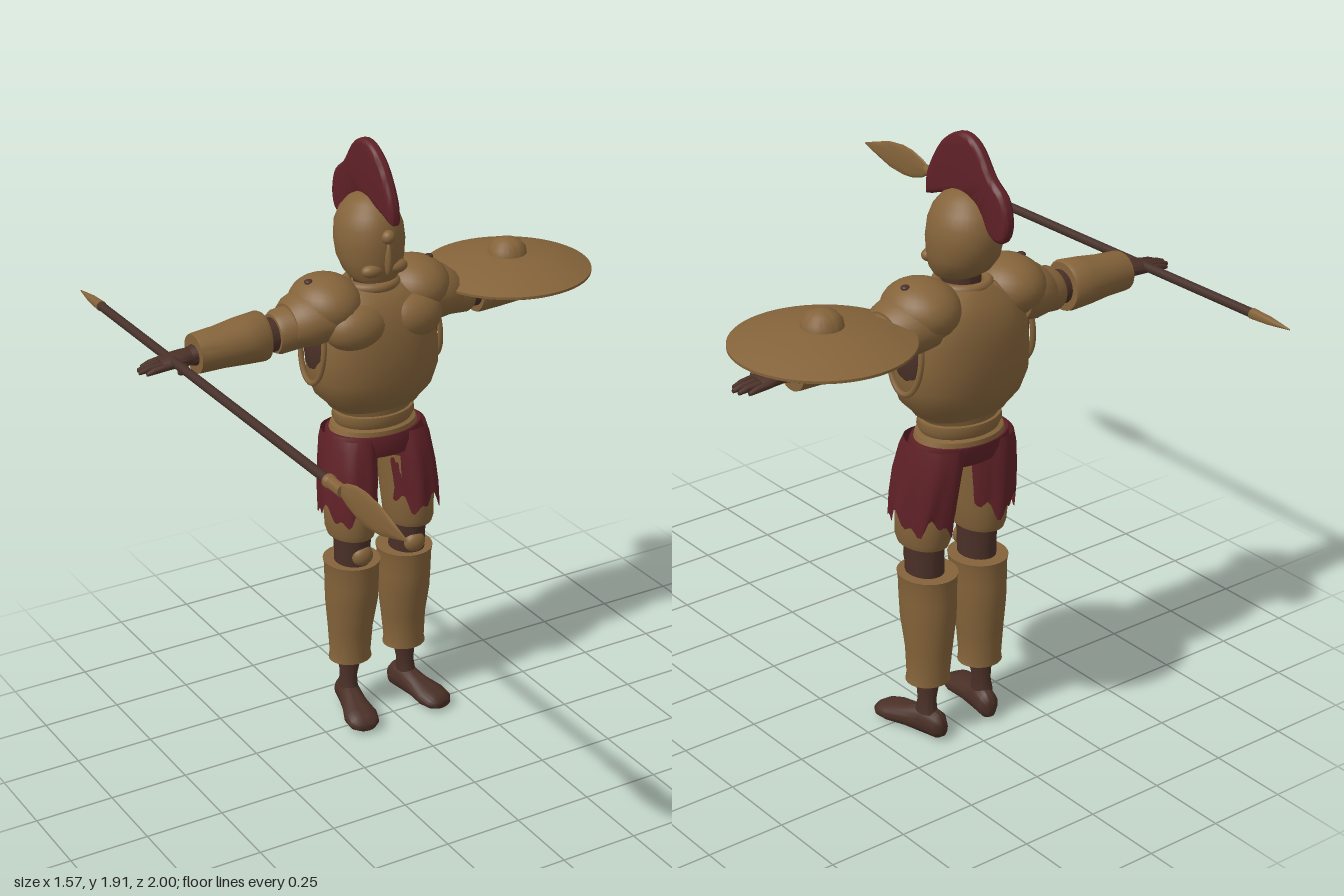
import * as THREE from 'three';
import { toCreasedNormals } from 'three/addons/utils/BufferGeometryUtils.js';

const mat = (name, color) => {
  const m = new THREE.MeshStandardMaterial({ color, side: THREE.DoubleSide });
  m.name = name;
  return m;
};

// Stack of ellipse rings [height, centreA, centreB, radiusA, radiusB], lowest first
function loft(rings, { power = 2, segs = 36, warp, crease = 0.75 } = {}) {
  const pos = [], idx = [];
  rings.forEach(([t, a, b, ra, rb], i) => {
    for (let j = 0; j < segs; j++) {
      const u = (j / segs) * Math.PI * 2, c = Math.cos(u), s = Math.sin(u);
      const bend = (k) => Math.sign(k) * Math.abs(k) ** (2 / power);
      const p = new THREE.Vector3(a + ra * bend(c), t, b + rb * bend(s));
      if (warp) warp(p, u, i);
      pos.push(p.x, p.y, p.z);
      if (i < rings.length - 1) {
        const q = i * segs + j, r = i * segs + ((j + 1) % segs);
        idx.push(q, q + segs, r, r, q + segs, r + segs);
      }
    }
  });
  const g = new THREE.BufferGeometry();
  g.setAttribute('position', new THREE.Float32BufferAttribute(pos, 3));
  g.setIndex(idx);
  return toCreasedNormals(g, crease);
}
// Closes both ends of a ring list
const cap = (rings) => {
  const end = ([t, a, b]) => [t, a, b, 0.001, 0.001];
  return [end(rings[0]), ...rings, end(rings[rings.length - 1])];
};
// Rings [x, y, z, ry, rz] along an arm, side s = 1 or -1
const armLoft = (s, rings, opt) =>
  loft(cap(rings.map(([x, y, z, ry, rz]) => [x, -s * y, z, ry, rz])), opt).rotateZ(-s * Math.PI / 2);
// Rings [z, x, y, rx, ry] running forwards
const zLoft = (rings, opt) =>
  loft(cap(rings.map(([z, x, y, rx, ry]) => [z, x, -y, rx, ry])), opt).rotateX(Math.PI / 2);
const ball = (x, y, z, rx, ry = rx, rz = rx) =>
  new THREE.SphereGeometry(1, 28, 18).scale(rx, ry, rz).translate(x, y, z);

export function createModel() {
  const bronze = mat('bronze', 0x84633a), skin = mat('dark skin', 0x4a3027);
  const red = mat('dark red cloth', 0x5f2127), wood = mat('dark wood', 0x46302a);
  const model = new THREE.Group();
  model.name = 'warrior';
  const add = (name, geo, m, parent = model) => {
    const mesh = new THREE.Mesh(geo, m);
    mesh.name = name;
    parent.add(mesh);
    return mesh;
  };

  // Torso armour, neck and belt
  add('cuirass', loft(cap([
    [1.07, 0, -0.362, 0.145, 0.103], [1.085, 0, -0.362, 0.155, 0.112], [1.12, 0, -0.362, 0.19, 0.135],
    [1.18, 0, -0.364, 0.212, 0.15], [1.25, 0, -0.365, 0.213, 0.152], [1.32, 0, -0.368, 0.203, 0.15],
    [1.38, 0, -0.37, 0.19, 0.138], [1.43, 0, -0.372, 0.155, 0.115], [1.465, 0, -0.375, 0.09, 0.08],
  ]), { power: 2.3 }), bronze);
  add('neck', loft([[1.42, 0, -0.365, 0.055, 0.06], [1.53, 0, -0.36, 0.055, 0.06]]), skin);
  add('collar', new THREE.TorusGeometry(0.075, 0.016, 10, 32).rotateX(Math.PI / 2)
    .translate(0, 1.462, -0.367), bronze);
  add('waistBelt', loft(cap([
    [0.98, 0, -0.362, 0.15, 0.113], [1.005, 0, -0.362, 0.14, 0.112], [1.01, 0, -0.362, 0.125, 0.1],
    [1.03, 0, -0.362, 0.135, 0.108], [1.05, 0, -0.362, 0.132, 0.106], [1.052, 0, -0.362, 0.122, 0.098],
    [1.075, 0, -0.362, 0.135, 0.1],
  ])), bronze);
  add('hipCloth', loft(cap([
    [0.92, 0, -0.352, 0.15, 0.105], [0.96, 0, -0.357, 0.168, 0.118], [0.99, 0, -0.362, 0.158, 0.117],
  ])), red);

  // Helmet with face details and crest
  const helmet = new THREE.Group();
  helmet.name = 'helmet';
  model.add(helmet);
  add('helmetShell', loft(cap([
    [1.485, 0, -0.345, 0.07, 0.068], [1.51, 0, -0.357, 0.09, 0.092], [1.55, 0, -0.37, 0.102, 0.11],
    [1.6, 0, -0.374, 0.106, 0.12], [1.65, 0, -0.377, 0.101, 0.118], [1.69, 0, -0.376, 0.086, 0.102],
    [1.72, 0, -0.375, 0.062, 0.076], [1.738, 0, -0.375, 0.034, 0.042], [1.745, 0, -0.375, 0.01, 0.012],
  ])), bronze, helmet);
  add('browKnob', ball(0, 1.635, -0.258, 0.022), bronze, helmet);
  add('noseGuard', ball(0, 1.565, -0.262, 0.012, 0.055, 0.018), bronze, helmet);
  for (const s of [-1, 1]) {
    add('cheekPlate', ball(s * 0.042, 1.528, -0.282, 0.036, 0.022, 0.024), bronze, helmet);
  }
  const outline = [[-0.225, 1.70], [-0.235, 1.76], [-0.29, 1.85], [-0.365, 1.895], [-0.43, 1.875], [-0.49, 1.8],
    [-0.545, 1.755], [-0.562, 1.69], [-0.545, 1.645], [-0.505, 1.655], [-0.47, 1.705], [-0.43, 1.735],
    [-0.36, 1.735], [-0.28, 1.72]].map(([z, y]) => new THREE.Vector2(z, y));
  const crestShape = new THREE.Shape(new THREE.SplineCurve([...outline, outline[0]]).getPoints(64).slice(0, -1));
  const crest = new THREE.ExtrudeGeometry(crestShape,
    { depth: 0.01, bevelThickness: 0.014, bevelSize: 0.014, bevelSegments: 4 });
  crest.translate(0, 0, -0.005).rotateY(-Math.PI / 2);
  add('crest', toCreasedNormals(crest, 0.8), red, helmet);

  for (const s of [-1, 1]) {
    const side = s > 0 ? 'left' : 'right';
    const arm = new THREE.Group(), leg = new THREE.Group();
    arm.name = side + 'Arm';
    leg.name = side + 'Leg';
    model.add(arm, leg);

    // Chest plate swell and open armhole
    add('chestPlate', ball(s * 0.093, 1.355, -0.292, 0.107, 0.078, 0.078), bronze);
    add('armhole', ball(s * 0.185, 1.28, -0.37, 0.034, 0.11, 0.068), skin);
    const rim = [...Array(20).keys()].map((i) => {
      const u = (i / 20) * Math.PI * 2;
      return new THREE.Vector3(s * (0.205 - 0.01 * Math.sin(u)), 1.28 + 0.112 * Math.sin(u), -0.37 + 0.072 * Math.cos(u));
    });
    add('armholeRim', new THREE.TubeGeometry(new THREE.CatmullRomCurve3(rim, true), 40, 0.009, 6, true), bronze);

    // Shoulder armour
    add('pauldron', ball(s * 0.155, 1.418, -0.375, 0.112, 0.09, 0.126), bronze, arm);
    add('pauldronRivet', ball(s * 0.21, 1.495, -0.375, 0.014, 0.008, 0.014), skin, arm);
    add('shoulderPlate', armLoft(s, [
      [0.16, 1.39, -0.373, 0.085, 0.115], [0.22, 1.385, -0.373, 0.088, 0.112],
      [0.27, 1.378, -0.373, 0.077, 0.095], [0.29, 1.372, -0.373, 0.066, 0.08]]), bronze, arm);
    add('upperArmGuard', armLoft(s, [
      [0.26, 1.365, -0.37, 0.068, 0.075], [0.325, 1.36, -0.37, 0.068, 0.072],
      [0.34, 1.357, -0.37, 0.06, 0.064]]), bronze, arm);

    // Bare arm, bracer and hand
    add('arm', armLoft(s, [
      [0.15, 1.35, -0.37, 0.06, 0.06], [0.36, 1.355, -0.37, 0.052, 0.054],
      [0.55, 1.348, -0.37, 0.045, 0.045], [0.62, 1.345, -0.37, 0.027, 0.034]]), skin, arm);
    add('bracer', armLoft(s, [
      [0.37, 1.355, -0.375, 0.074, 0.07], [0.382, 1.357, -0.375, 0.078, 0.077], [0.45, 1.355, -0.375, 0.072, 0.077],
      [0.52, 1.352, -0.373, 0.064, 0.07], [0.59, 1.349, -0.372, 0.062, 0.063],
      [0.602, 1.348, -0.372, 0.06, 0.062]]), bronze, arm);
    add('palm', armLoft(s, [
      [0.6, 1.345, -0.37, 0.026, 0.03], [0.64, 1.346, -0.37, 0.024, 0.037],
      [0.69, 1.343, -0.37, 0.021, 0.042], [0.715, 1.34, -0.37, 0.014, 0.037]]), skin, arm);
    [0.765, 0.785, 0.79, 0.775].forEach((tip, i) => {
      const z = -0.402 + i * 0.021;
      add('finger', armLoft(s, [
        [0.69, 1.342, z, 0.012, 0.011], [tip - 0.03, 1.337, z, 0.01, 0.01],
        [tip - 0.004, 1.331, z, 0.006, 0.006]], { segs: 10 }), skin, arm);
    });
    add('thumb', new THREE.CapsuleGeometry(0.011, 0.055, 4, 10).rotateX(Math.PI / 2)
      .rotateY(s * 0.7).translate(s * 0.66, 1.332, -0.325), skin, arm);

    // Torn cloth over the thigh
    const folds = (p, u, i) => {
      const w = 1 + 0.035 * Math.sin(u * 7 + s) * (i < 3 ? 1 : 0.3);
      p.x = s * 0.105 + (p.x - s * 0.105) * w;
      p.z = -0.343 + (p.z + 0.343) * w;
      if (i === 0) p.y += 0.022 * Math.sin(u * 5 + s) + 0.016 * Math.sin(u * 11);
    };
    add('thighCloth', loft([
      [0.735, s * 0.112, -0.33, 0.084, 0.117], [0.79, s * 0.11, -0.335, 0.084, 0.12],
      [0.87, s * 0.103, -0.343, 0.083, 0.122], [0.95, s * 0.094, -0.355, 0.082, 0.118],
      [0.985, s * 0.088, -0.36, 0.08, 0.108]], { segs: 60, warp: folds, crease: 1 }), red, leg);
    add('thighGuard', loft(cap([
      [0.65, s * 0.105, -0.328, 0.07, 0.088], [0.67, s * 0.105, -0.328, 0.076, 0.095],
      [0.74, s * 0.103, -0.332, 0.08, 0.1], [0.9, s * 0.085, -0.345, 0.072, 0.1]])), bronze, leg);

    // Lower leg
    add('leg', loft(cap([
      [0.08, s * 0.108, -0.355, 0.03, 0.04], [0.12, s * 0.106, -0.355, 0.027, 0.03],
      [0.2, s * 0.1, -0.352, 0.038, 0.04], [0.45, s * 0.098, -0.335, 0.055, 0.062],
      [0.6, s * 0.1, -0.328, 0.055, 0.067], [0.68, s * 0.1, -0.328, 0.06, 0.07]])), skin, leg);
    add('kneeCap', ball(s * 0.095, 0.585, -0.272, 0.036, 0.034, 0.026), bronze, leg);
    add('greave', loft(cap([
      [0.19, s * 0.1, -0.352, 0.07, 0.066], [0.21, s * 0.1, -0.352, 0.066, 0.065],
      [0.3, s * 0.098, -0.352, 0.072, 0.072], [0.4, s * 0.096, -0.345, 0.083, 0.088],
      [0.47, s * 0.096, -0.342, 0.084, 0.093], [0.53, s * 0.096, -0.34, 0.086, 0.093],
      [0.55, s * 0.096, -0.34, 0.09, 0.096]])), bronze, leg);
    const foot = add('foot', zLoft([
      [-0.075, 0, 0.04, 0.016, 0.025], [-0.055, 0, 0.045, 0.032, 0.043], [0, 0, 0.05, 0.036, 0.05],
      [0.06, 0, 0.04, 0.042, 0.038], [0.12, 0, 0.033, 0.055, 0.032], [0.16, 0, 0.028, 0.049, 0.025],
      [0.182, 0, 0.025, 0.03, 0.014]], { crease: 1.2 }), skin, leg);
    foot.position.set(s * 0.107, 0, -0.35);
    foot.rotation.y = s * 0.2;
  }

  // Round shield lying over the left forearm
  const profile = [[0, 0.035], [0.15, 0.022], [0.255, -0.005], [0.265, 0], [0.265, 0.008], [0.22, 0.025],
    [0.14, 0.046], [0.062, 0.056], [0.058, 0.075], [0.042, 0.094], [0.02, 0.103], [0, 0.105]];
  add('shield', toCreasedNormals(new THREE.LatheGeometry(
    profile.map(([r, y]) => new THREE.Vector2(r, y)), 56), 0.6).translate(0.495, 1.397, -0.372), bronze);

  // Spear pointing forwards from the right hand
  const spear = new THREE.Group();
  spear.name = 'spear';
  spear.position.set(-0.68, 1.35, 0);
  model.add(spear);
  add('spearShaft', new THREE.CylinderGeometry(0.014, 0.014, 1.47, 16).rotateX(Math.PI / 2)
    .translate(0, 0, -0.125), wood, spear);
  add('spearSocket', zLoft([
    [0.585, 0, 0, 0.02, 0.02], [0.6, 0, 0, 0.021, 0.021], [0.605, 0, 0, 0.017, 0.017],
    [0.665, 0, 0, 0.017, 0.018]], { segs: 20 }), bronze, spear);
  add('spearHead', zLoft([
    [0.65, 0, 0, 0.006, 0.012], [0.69, 0, 0, 0.006, 0.034], [0.74, 0, 0, 0.006, 0.048], [0.79, 0, 0, 0.006, 0.052],
    [0.86, 0, 0, 0.005, 0.045], [0.93, 0, 0, 0.004, 0.025], [1, 0, 0, 0.001, 0.002]], { segs: 20 }), bronze, spear);
  add('spearButt', zLoft([
    [-1, 0, 0, 0.002, 0.002], [-0.92, 0, 0, 0.014, 0.012], [-0.85, 0, 0, 0.017, 0.016]], { segs: 20 }), bronze, spear);
  return model;
}
